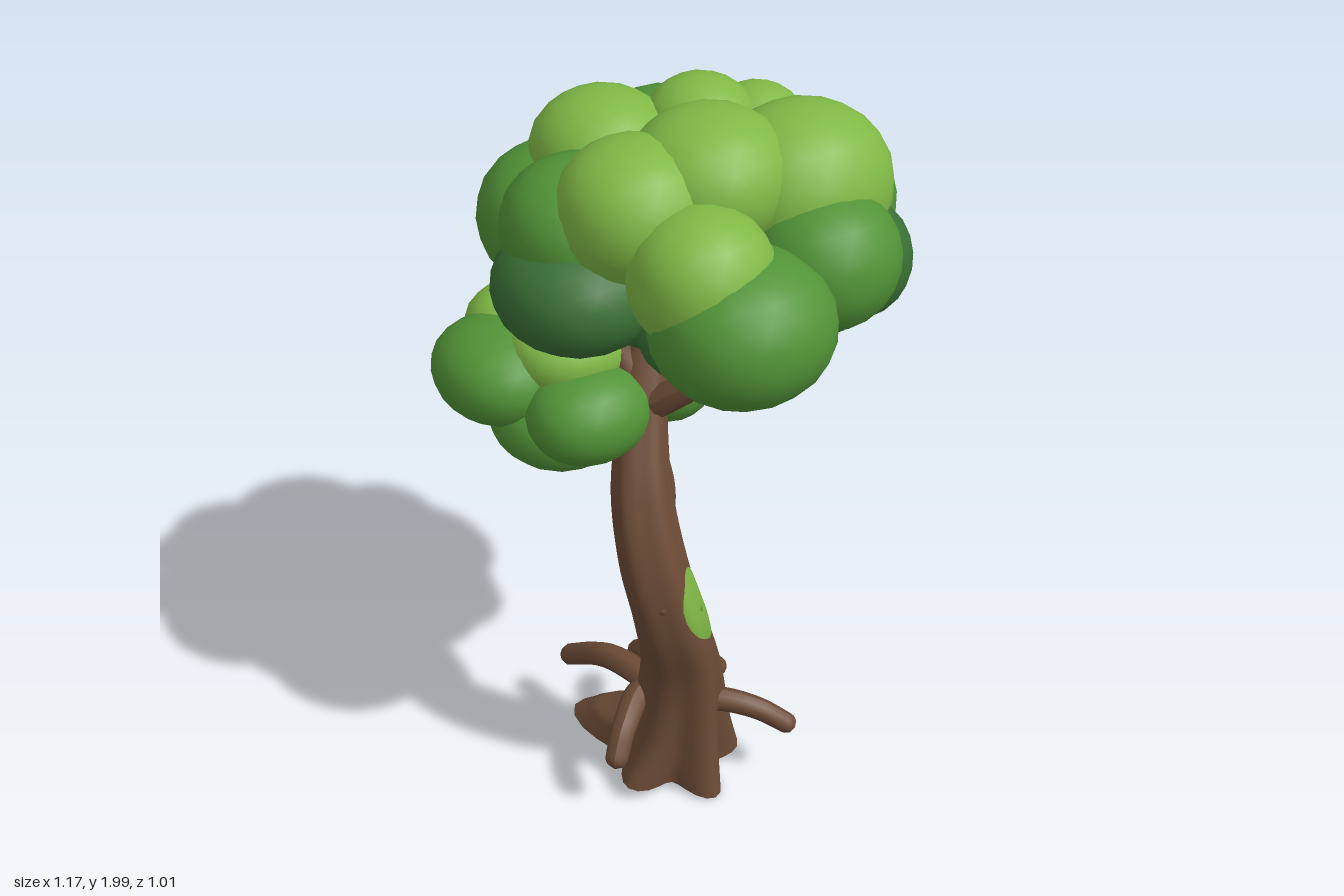
import * as THREE from 'three';
import { ParametricGeometry } from 'three/addons/geometries/ParametricGeometry.js';
import { mergeVertices } from 'three/addons/utils/BufferGeometryUtils.js';

const mat = (color) => new THREE.MeshStandardMaterial({ color });
const bark = mat(0x6d4c37), moss = mat(0x7fb445);
const leaf = { light: mat(0x80b946), mid: mat(0x529437), dark: mat(0x3a7035) };
const V = (p) => new THREE.Vector3(...p);

// Trunk sections: x, y, z, radius, lobe strength
const sections = [
  [0.012, 0.045, 0.06, 0.16, 0.24],
  [0.05, 0.2, 0.06, 0.125, 0.13],
  [0.085, 0.4, 0.08, 0.103, 0.06],
  [0.12, 0.6, 0.14, 0.092, 0.05],
  [0.105, 0.8, 0.182, 0.085, 0.05],
  [0.055, 1.0, 0.178, 0.074, 0.05],
  [-0.01, 1.2, 0.12, 0.058, 0.04],
  [-0.075, 1.4, 0.05, 0.05, 0],
  [-0.1, 1.55, 0.01, 0.04, 0],
];
const curve = (pts) => new THREE.CatmullRomCurve3(pts, false, 'catmullrom');
const spine = curve(sections.map((s) => V(s.slice(0, 3))));
const girth = curve(sections.map((s) => new THREE.Vector3(s[3], s[4], 0)));

// Point on the bark at height t and angle a (from +x towards +z)
function barkPoint(t, a, out, target) {
  const c = spine.getPoint(t), g = girth.getPoint(t);
  // One big root foot swells towards the front right
  const turn = Math.atan2(Math.sin(a - 2.45), Math.cos(a - 2.45));
  const foot = 0.075 * Math.exp(-((turn / 0.55) ** 2)) * (1 - THREE.MathUtils.smoothstep(t, 0.075, 0.16));
  const r = g.x * (1 + g.y * Math.cos(5 * a)) + foot + out;
  const dx = r * Math.cos(a), dz = r * Math.sin(a);
  // The foot is cut on a slope
  const slope = Math.max(0, 1 - t * 5.5) * (0.1 * dz - (dx < 0 ? 0.36 : 0.18) * dx);
  return target.set(c.x + dx, c.y + slope, c.z + dz);
}

function add(parent, name, geometry, material) {
  const m = new THREE.Mesh(geometry, material);
  m.name = name;
  parent.add(m);
  return m;
}

// Tapered tube with a rounded tip
function limb(parent, name, pts, r0, r1) {
  const path = new THREE.CatmullRomCurve3(pts.map(V)), n = 36, sides = 10;
  const geo = new THREE.TubeGeometry(path, n, 1, sides);
  const pos = geo.attributes.position, v = new THREE.Vector3();
  const tipLength = r1 / path.getLength();
  for (let i = 0; i <= n; i++) {
    const t = i / n, p = path.getPointAt(t);
    const k = Math.max(0, 1 - (1 - t) / tipLength);
    const r = THREE.MathUtils.lerp(r0, r1, t) * Math.max(Math.sqrt(1 - k * k), 0.001);
    for (let j = 0; j <= sides; j++) {
      const id = i * (sides + 1) + j;
      v.fromBufferAttribute(pos, id).sub(p).multiplyScalar(r).add(p);
      pos.setXYZ(id, v.x, v.y, v.z);
    }
  }
  geo.computeVertexNormals();
  return add(parent, name, geo, bark);
}

// Rounded, slightly full-bodied ball shared by all leaf clumps
function clumpGeometry() {
  const ball = new THREE.IcosahedronGeometry(1, 3);
  ball.deleteAttribute('normal');
  ball.deleteAttribute('uv');
  const geo = mergeVertices(ball), pos = geo.attributes.position, e = 2.15;
  for (let i = 0; i < pos.count; i++) {
    const v = new THREE.Vector3().fromBufferAttribute(pos, i);
    const norm = v.toArray().reduce((sum, c) => sum + Math.abs(c) ** e, 0) ** (1 / e);
    pos.setXYZ(i, v.x / norm, v.y / norm, v.z / norm);
  }
  geo.computeVertexNormals();
  return geo;
}

// Leaf clump: tone, x, y, z, width radius, height radius, depth radius
function clumps(parent, name, geometry, list) {
  const group = new THREE.Group();
  group.name = name;
  list.forEach(([tone, x, y, z, rx, ry, rz = rx]) => {
    const m = add(group, tone + 'LeafClump', geometry, leaf[tone]);
    m.position.set(x, y, z);
    m.scale.set(rx, ry, rz);
  });
  parent.add(group);
}

export function createModel() {
  const tree = new THREE.Group();
  tree.name = 'tree';

  // Trunk and its underside
  add(tree, 'trunk', new ParametricGeometry((u, v, p) => barkPoint(v, -u * Math.PI * 2, 0, p), 50, 64), bark);
  const footCentre = spine.getPoint(0);
  add(tree, 'trunkBase', new ParametricGeometry((u, v, p) => {
    barkPoint(0, -u * Math.PI * 2, 0, p).lerp(footCentre, 1 - Math.max(v, 0.001));
  }, 50, 3), bark);

  // Moss patch hugging the bark
  add(tree, 'mossPatch', new ParametricGeometry((u, v, p) => {
    const a = u * Math.PI * 2, k = Math.max(v, 0.001) * (1 + 0.08 * Math.cos(3 * a));
    barkPoint(0.42 + 0.077 * k * Math.sin(a), -0.7 + 0.7 * k * Math.cos(a) + 0.1 * k * Math.sin(a), 0.007 * (1 - v * v) + 0.001, p);
  }, 24, 8), moss);

  // Bark knots
  [[0.1, 0.34, -0.012, 0.032], [0.172, 0.715, 0.205, 0.02]].forEach(([x, y, z, r]) => {
    const knot = add(tree, 'barkKnot', new THREE.SphereGeometry(r, 12, 8), bark);
    knot.position.set(x, y, z);
  });

  // Arched roots
  [
    [[-0.03, 0.29, 0.1], [-0.18, 0.285, 0.125], [-0.35, 0.19, 0.15], 0.04],
    [[0.0, 0.29, 0.14], [0.05, 0.26, 0.24], [0.095, 0.175, 0.31], 0.04],
    [[0.12, 0.27, 0.0], [0.2, 0.25, -0.08], [0.275, 0.185, -0.16], 0.036],
    [[0.01, 0.26, 0.01], [-0.03, 0.25, -0.09], [-0.05, 0.17, -0.17], 0.036],
    [[0.0, 0.28, 0.05], [-0.14, 0.265, 0.01], [-0.25, 0.185, -0.02], 0.038],
  ].forEach(([a, b, c, r]) => limb(tree, 'archedRoot', [[0.06, 0.25, 0.07], a, b, c], r, r * 0.75));

  // Branches
  limb(tree, 'rightBranch', [[-0.01, 1.18, 0.12], [0.09, 1.27, 0.06], [0.18, 1.36, -0.03], [0.25, 1.52, -0.1]], 0.042, 0.03);
  limb(tree, 'forkBranch', [[-0.03, 1.24, 0.11], [-0.1, 1.35, 0.14], [-0.15, 1.55, 0.18]], 0.042, 0.03);
  limb(tree, 'lowBranch', [[0.07, 0.82, 0.17], [0.02, 0.94, 0.1], [-0.08, 1.03, 0.06], [-0.18, 1.15, 0.04]], 0.05, 0.032);

  const clump = clumpGeometry();

  // Main crown
  clumps(tree, 'mainCrown', clump, [
    ['light', 0.2, 1.78, -0.18, 0.2, 0.195, 0.215],
    ['light', -0.09, 1.82, -0.12, 0.14, 0.14],
    ['light', -0.2, 1.78, 0.08, 0.18, 0.16, 0.175],
    ['light', 0.13, 1.84, 0.03, 0.19, 0.16],
    ['light', 0.09, 1.8, 0.21, 0.18, 0.165],
    ['light', 0.3, 1.71, 0.19, 0.165, 0.165],
    ['light', -0.04, 1.8, -0.25, 0.12, 0.12],
    ['mid', 0.08, 1.66, -0.3, 0.22, 0.2, 0.21],
    ['mid', -0.24, 1.66, -0.13, 0.21, 0.2],
    ['mid', 0.38, 1.61, 0.14, 0.205, 0.175, 0.21],
    ['mid', -0.26, 1.63, 0.17, 0.19, 0.18, 0.2],
    ['mid', -0.05, 1.72, 0.27, 0.17, 0.165, 0.18],
    ['mid', 0.34, 1.67, -0.13, 0.175, 0.165, 0.175],
    ['dark', 0.0, 1.6, 0.31, 0.2, 0.145, 0.195],
    ['dark', -0.17, 1.61, -0.31, 0.14, 0.15, 0.14],
    ['dark', 0.31, 1.62, -0.24, 0.145, 0.145, 0.14],
    ['dark', 0.24, 1.53, 0.1, 0.16, 0.12, 0.19],
    ['dark', 0.2, 1.53, -0.18, 0.19, 0.115, 0.2],
    ['dark', -0.18, 1.53, -0.04, 0.18, 0.11, 0.22],
    ['dark', 0.03, 1.52, 0.04, 0.22, 0.11, 0.25],
  ]);

  // Side crown
  clumps(tree, 'sideCrown', clump, [
    ['mid', -0.3, 1.24, 0.34, 0.18, 0.125, 0.16],
    ['mid', -0.45, 1.19, 0.16, 0.14, 0.12, 0.155],
    ['mid', -0.18, 1.13, 0.25, 0.18, 0.115, 0.17],
    ['mid', -0.07, 1.19, 0.24, 0.14, 0.12, 0.16],
    ['mid', -0.08, 1.2, 0.0, 0.13, 0.115, 0.115],
    ['mid', -0.35, 1.13, 0.24, 0.14, 0.105, 0.14],
    ['light', -0.19, 1.31, 0.2, 0.145, 0.105, 0.165],
    ['light', -0.39, 1.28, 0.23, 0.125, 0.11],
    ['light', -0.36, 1.28, 0.02, 0.135, 0.11, 0.135],
    ['light', -0.19, 1.3, 0.02, 0.125, 0.105, 0.135],
    ['dark', -0.22, 1.17, -0.07, 0.14, 0.115, 0.115],
    ['dark', -0.31, 1.13, 0.08, 0.17, 0.105, 0.17],
  ]);
  return tree;
}
